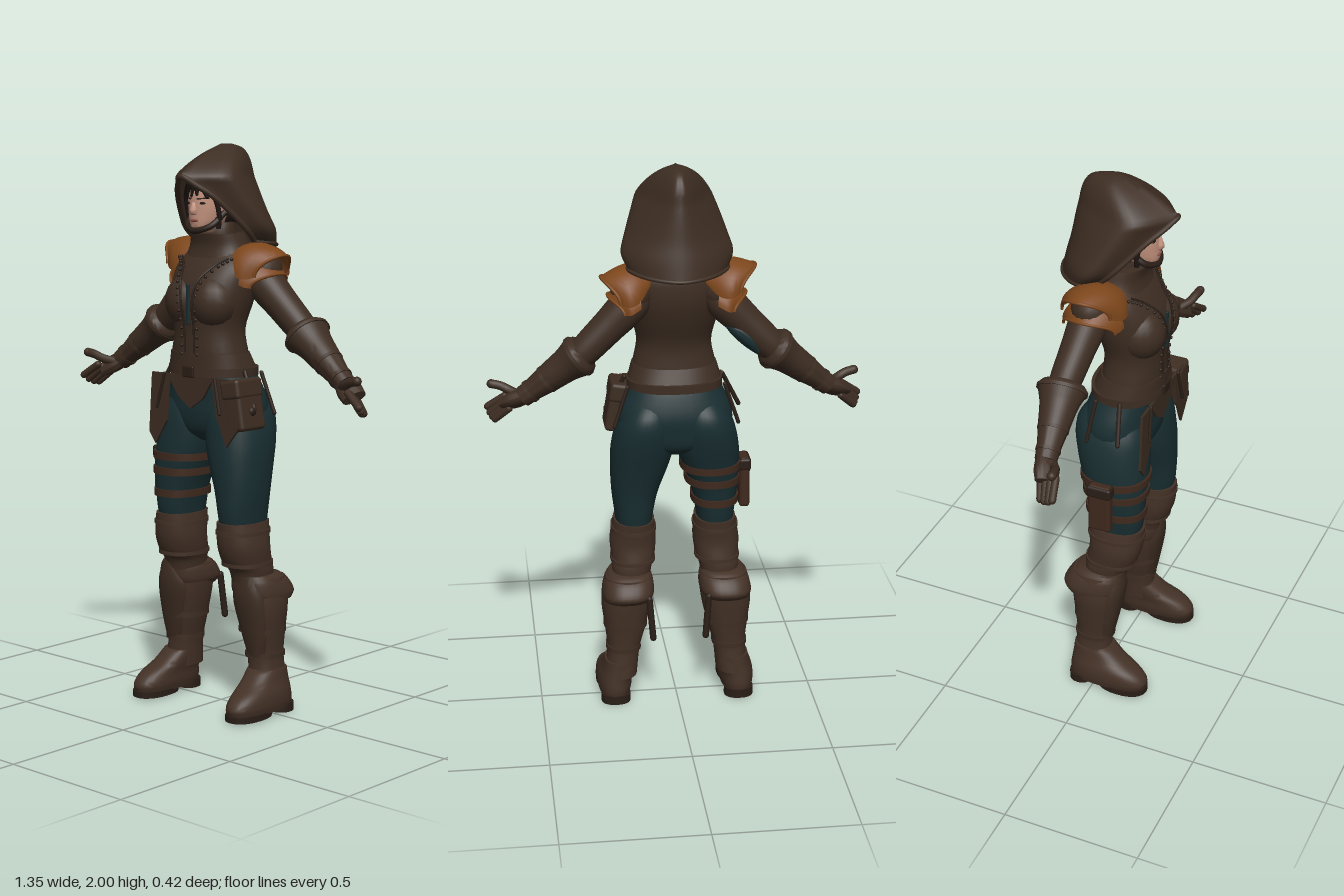
import * as THREE from 'three';
import { toCreasedNormals } from 'three/addons/utils/BufferGeometryUtils.js';
import { RoundedBoxGeometry } from 'three/addons/geometries/RoundedBoxGeometry.js';

const V = (x, y, z) => new THREE.Vector3(x, y, z);
const paint = (name, color, double) => {
  const m = new THREE.MeshStandardMaterial({ color });
  m.name = name;
  if (double) m.side = THREE.DoubleSide;
  return m;
};

// Smooth surface through rows of points; the rows run upward, anticlockwise from +x to +z
function skin(rows, { closed = true, steps = 4 } = {}) {
  const n = rows[0].length, count = (rows.length - 1) * steps + 1, pos = [], idx = [];
  const cols = rows[0].map((_, j) => new THREE.CatmullRomCurve3(rows.map(r => r[j]), false, 'catmullrom', 0.5));
  for (let i = 0; i < count; i++) cols.forEach(c => pos.push(...c.getPoint(i / (count - 1)).toArray()));
  for (let i = 0; i < count - 1; i++) for (let j = 0; j < (closed ? n : n - 1); j++) {
    const a = i * n + j, b = i * n + (j + 1) % n;
    idx.push(a, a + n, b, b, a + n, b + n);
  }
  if (closed) [0, count - 1].forEach((r, end) => {
    const mid = rows[end ? rows.length - 1 : 0].reduce((s, p) => s.add(p), V(0, 0, 0)).divideScalar(n);
    const c = pos.length / 3;
    pos.push(mid.x, mid.y, mid.z);
    for (let j = 0; j < n; j++) {
      const p = r * n + j, q = r * n + (j + 1) % n;
      idx.push(c, end ? q : p, end ? p : q);
    }
  });
  const g = new THREE.BufferGeometry();
  g.setAttribute('position', new THREE.Float32BufferAttribute(pos, 3));
  g.setIndex(idx);
  return toCreasedNormals(g, 1.0);
}

// Rounded cross-sections, each given as [y, xMin, xMax, zMin, zMax]
function stack(rows, e = 0.88, steps = 4, seg = 32) {
  const pw = v => Math.sign(v) * Math.abs(v) ** e;
  return skin(rows.map(([y, x0, x1, z0, z1]) => Array.from({ length: seg }, (_, j) => {
    const t = j / seg * Math.PI * 2;
    return V((x0 + x1) / 2 + (x1 - x0) / 2 * pw(Math.cos(t)), y, (z0 + z1) / 2 + (z1 - z0) / 2 * pw(Math.sin(t)));
  })), { steps });
}
const sym = (rows, e, steps) => stack(rows.map(([y, w, z0, z1]) => [y, -w, w, z0, z1]), e, steps);
const band = (y, h, x0, x1, z0, z1) => stack([[y - h / 2, x0, x1, z0, z1], [y + h / 2, x0, x1, z0, z1]], 0.88, 1);
const tube = (pts, r) => new THREE.TubeGeometry(new THREE.CatmullRomCurve3(pts), 40, r, 8);
const ball = (x, y, z, rx, ry = rx, rz = rx) => new THREE.SphereGeometry(1, 18, 12).scale(rx, ry, rz).translate(x, y, z);
const box = (x, y, z, w, h, d, r = 0.008, tilt = 0) => new RoundedBoxGeometry(w, h, d, 3, r).rotateZ(tilt).translate(x, y, z);
// Turn a shape built up the y axis so that it runs from a towards b
const aim = (g, a, b) => g
  .applyQuaternion(new THREE.Quaternion().setFromUnitVectors(V(0, 1, 0), b.clone().sub(a).normalize()))
  .translate(a.x, a.y, a.z);
const rod = (a, b, r) => {
  const l = a.distanceTo(b);
  return aim(new THREE.CapsuleGeometry(r, l, 4, 10).translate(0, l / 2, 0), a, b);
};
const plate = (pts, z) => new THREE.ExtrudeGeometry(new THREE.Shape(pts.map(p => new THREE.Vector2(...p))),
  { depth: 0.009, bevelEnabled: false }).translate(0, 0, z);
function mirror(g) {
  const m = g.index ? g.toNonIndexed() : g.clone();
  m.scale(-1, 1, 1);
  for (const { array, itemSize: n, count } of Object.values(m.attributes))
    for (let i = 0; i < count; i += 3) for (let k = 0; k < n; k++) {
      const p = (i + 1) * n + k, q = p + n;
      [array[p], array[q]] = [array[q], array[p]];
    }
  return m;
}

export function createModel() {
  const root = new THREE.Group();
  root.name = 'hoodedFigure';
  const leather = paint('brown leather', 0x3d2d22), cloth = paint('hood cloth', 0x3d2d22, true);
  const boot = paint('boot leather', 0x433126), strap = paint('strap brown', 0x3f291d);
  const orange = paint('orange leather', 0x7c461b, true), teal = paint('teal cloth', 0x192e31);
  const flesh = paint('skin', 0xc4937e), hair = paint('hair', 0x1f1714);
  const trim = paint('dark trim', 0x2a1e17), lip = paint('lips', 0x8f5148);
  const add = (name, mat, geo) => {
    const m = new THREE.Mesh(geo, mat);
    m.name = name;
    root.add(m);
  };
  const both = (name, mat, geo) => { add(name + 'Left', mat, geo); add(name + 'Right', mat, mirror(geo)); };

  // Hood: open at the face below the front point; rows are [y, rimX, rimZ, halfWidth, backZ]
  const hood = [[1.667, .142, -.015, .172, -.205], [1.705, .146, .025, .193, -.19], [1.76, .122, .075, .178, -.176],
    [1.82, .085, .13, .157, -.165], [1.86, .042, .175, .141, -.157], [1.89, .003, .205, .126, -.15],
    [1.93, 0, .155, .101, -.142], [1.965, 0, .09, .07, -.126], [1.988, 0, .035, .038, -.1], [2, 0, 0, 0, -.05]];
  const hoodRows = hood.map(([y, ex, ez, w, zb], i) => {
    const zs = ez + (zb - ez) * .34, half = [[ex, ez], [w, zs], [w * .64, zs + (zb - zs) * .66]];
    const at = (x, z) => V(x, y + (i ? 0 : z * .13), z);
    const pts = [...half.map(([x, z]) => at(-x, z)), at(0, zb), ...half.reverse().map(([x, z]) => at(x, z))];
    return new THREE.CatmullRomCurve3(pts, false, 'catmullrom', 0.5).getPoints(40);
  });
  add('hood', cloth, skin(hoodRows, { closed: false, steps: 3 }));
  const rim = hood.slice(0, 5).map(([y, x, z]) => V(x, y, z));
  add('hoodRim', cloth, tube([...rim, V(0, 1.889, .202), ...rim.map(p => V(-p.x, p.y, p.z)).reverse()], .01));
  add('hoodHem', cloth, tube(hoodRows[0], .007));

  // Head, face and hair
  add('head', flesh, sym([[1.695, .028, .05, .125], [1.72, .051, 0, .138], [1.76, .067, -.03, .14],
    [1.8, .074, -.045, .14], [1.85, .075, -.05, .135], [1.9, .06, -.03, .11], [1.92, .025, 0, .07]], 1));
  add('neckScarf', leather, sym([[1.6, .075, -.055, .07], [1.69, .068, -.045, .075], [1.74, .062, -.04, .06]], 1));
  add('nose', flesh, sym([[1.757, .011, .12, .149], [1.768, .013, .12, .156], [1.8, .007, .12, .146]], 1));
  add('lips', lip, ball(0, 1.738, .137, .018, .006, .007));
  both('eye', hair, ball(.031, 1.797, .13, .014, .005, .006));
  both('eyebrow', hair, rod(V(.016, 1.812, .138), V(.05, 1.815, .117), .003));
  add('hairCrown', hair, ball(0, 1.862, .045, .084, .065, .1));
  add('hairBack', hair, ball(0, 1.79, .01, .08, .1, .075));
  for (const [x, tx, ty] of [[0, -.012, 1.822], [.015, .012, 1.828], [.03, .045, 1.82], [-.02, -.042, 1.818]])
    add('fringeLock', hair, rod(V(x, 1.862, .14), V(tx, ty, .14 - Math.abs(tx) * .4), .007));
  both('sideLock', hair, tube([V(.03, 1.865, .135), V(.066, 1.82, .108), V(.073, 1.76, .09), V(.066, 1.71, .085)], .009));
  add('jawStrap', trim, tube([V(-.072, 1.765, .06), V(-.056, 1.72, .112), V(0, 1.702, .136), V(.056, 1.72, .112), V(.072, 1.765, .06)], .011));

  // Jacket
  add('jacket', leather, sym([[1.22, .148, -.055, .155], [1.27, .148, -.05, .163], [1.36, .132, -.045, .163],
    [1.45, .15, -.075, .171], [1.52, .16, -.095, .156], [1.58, .163, -.098, .122], [1.62, .14, -.092, .09],
    [1.65, .1, -.07, .075], [1.68, .075, -.05, .07]]));
  both('bust', leather, ball(.06, 1.455, .1, .086, .095, .086));
  add('collar', leather, sym([[1.59, .142, -.088, .105], [1.645, .115, -.08, .092], [1.69, .098, -.065, .1]]));
  add('jacketHem', leather, sym([[1.225, .166, -.078, .166], [1.28, .15, -.053, .167]], .88, 1));
  add('shirtFront', teal, box(0, 1.45, .169, .014, .14, .009, .003));
  const lapel = new THREE.CatmullRomCurve3([V(.022, 1.28, .163), V(.022, 1.37, .165), V(.026, 1.46, .179),
    V(.04, 1.53, .165), V(.075, 1.585, .112), V(.11, 1.61, .082)]);
  both('lapelEdge', trim, new THREE.TubeGeometry(lapel, 40, .004, 6));
  for (let i = 0; i < 16; i++) {
    const p = lapel.getPoint(i / 15);
    both('stud', trim, ball(p.x + .014, p.y - .004, p.z, .006));
  }

  // Shoulder guards: arched strips, rows are [x, centreZ, halfDepth, topY, edgeY]; the right one flares higher
  const arch = (rows, side, lift) => rows.map(([x, zc, hz, yt, yb]) => Array.from({ length: 21 }, (_, j) => {
    const t = (j / 20 - .5) * Math.PI * -side, out = Math.max(0, x - .1) / .16, up = lift * out;
    return V(side * (x + up * .3 - .06 * out * Math.sin(t) ** 2), yb + up + (yt - yb) * Math.cos(t), zc + hz * Math.sin(t));
  }));
  both('shoulder', leather, ball(.155, 1.565, -.04, .075, .075, .07));
  for (const [label, side, lift] of [['Left', 1, 0], ['Right', -1, .03]]) {
    const upper = arch([[.095, -.01, .075, 1.65, 1.6], [.15, -.02, .105, 1.662, 1.555], [.2, -.03, .112, 1.652, 1.54],
      [.24, -.035, .1, 1.634, 1.54], [.262, -.035, .088, 1.62, 1.545]], side, lift);
    const lower = arch([[.15, -.025, .108, 1.61, 1.53], [.205, -.035, .108, 1.59, 1.512], [.24, -.035, .095, 1.555, 1.508]], side, 0);
    add('shoulderGuard' + label, orange, skin(upper, { closed: false }));
    add('shoulderLowerPlate' + label, orange, skin(lower, { closed: false }));
    add('shoulderGuardEdge' + label, orange, tube(upper[4], .006));
    add('shoulderPlateEdge' + label, orange, tube(lower[2], .005));
  }

  // Arms and gauntlets
  const A = V(.15, 1.535, -.045), B = V(.335, 1.355, -.065), W = V(.535, 1.2, -.035);
  const ring = (y, rx, rz = rx) => [y, -rx, rx, -rz, rz];
  both('upperArm', leather, aim(stack([ring(-.04, .05), ring(.02, .066), ring(.12, .06), ring(.24, .054), ring(.29, .045)], 1), A, B));
  add('sleeveGussetRight', teal, mirror(aim(stack([[.08, .02, .055, -.045, -.01], [.12, 0, .06, -.061, .005],
    [.18, 0, .058, -.06, .005], [.23, .02, .05, -.045, -.01]], 1), A, B)));
  both('gauntlet', leather, aim(stack([ring(-.01, .066, .074), ring(.008, .075, .086), ring(.035, .068, .076), ring(.07, .059, .065),
    ring(.14, .051, .054), ring(.21, .04, .042), ring(.26, .037, .038)], 1), B, W));
  [[.012, .077, .088], [.15, .051, .054], [.225, .042, .043]].forEach(([y, rx, rz]) =>
    both('gauntletStrap', leather, aim(stack([ring(y - .006, rx, rz), ring(y + .006, rx, rz)], 1, 1), B, W)));
  both('palm', leather, aim(stack([ring(-.01, .028, .034), ring(.04, .028, .044), ring(.085, .019, .042)], .9), W, V(.6, 1.162, -.003)));
  for (let i = 0; i < 4; i++) {
    const k = i / 3, base = V(.6 - .012 * k, 1.18 - .026 * k, .03 - .06 * k);
    const tip = V(.66 - .024 * k, 1.138 - .026 * k - .008 * Math.sin(k * 3), .045 - .055 * k);
    both('finger', leather, rod(base, tip, .0135));
  }
  both('thumb', leather, tube([V(.545, 1.192, -.005), V(.585, 1.205, .022), V(.615, 1.218, .032), V(.645, 1.224, .038)], .016));
  both('thumbTip', leather, ball(.645, 1.224, .038, .016));

  // Trousers
  add('hips', teal, sym([[.965, .05, -.06, .09], [1.0, .15, -.095, .13], [1.06, .2, -.105, .145], [1.12, .2, -.105, .145],
    [1.2, .165, -.08, .15], [1.24, .15, -.055, .15]]));
  both('trouserLeg', teal, stack([[.62, .085, .21, -.035, .12], [.7, .08, .216, -.05, .145], [.8, .06, .228, -.06, .152],
    [.9, .025, .232, -.082, .155], [.98, .004, .228, -.103, .152], [1.06, .002, .21, -.117, .145], [1.12, .02, .18, -.106, .12],
    [1.17, .04, .14, -.06, .08]]));

  // Belt, flaps and pouches
  add('belt', leather, band(1.215, .03, -.17, .17, -.088, .168));
  add('buckle', trim, box(0, 1.215, .168, .05, .04, .014, .005));
  add('frontFlap', leather, plate([[-.11, 1.2], [-.06, 1.125], [0, 1.085], [.06, 1.125], [.11, 1.2]], .152));
  add('rightFlap', leather, plate([[-.1, 1.2], [-.115, 1.03], [-.17, .945], [-.2, .985], [-.185, 1.2]], .153));
  add('leftFlap', leather, plate([[.1, 1.2], [.185, 1.2], [.225, 1.03], [.17, .965], [.125, 1.07]], .153));
  add('hipPouch', leather, box(.198, 1.11, .1, .075, .18, .125, .014, .17));
  add('hipPouchFlap', leather, box(.187, 1.165, .1, .084, .07, .134, .014, .17));
  add('hipPouchStud', trim, ball(.238, 1.09, .1, .01, .016, .016));
  both('hangingRod', trim, rod(V(.175, 1.22, .07), V(.238, 1.095, .09), .008));
  both('beltCord', trim, rod(V(.172, 1.21, -.02), V(.22, 1.07, -.035), .007));
  both('frontCord', trim, rod(V(.12, 1.2, .165), V(.15, 1.08, .172), .006));

  // Thigh straps and holder on the right leg
  [[.9, -.24, -.018, -.088, .163], [.845, -.238, -.036, -.077, .161], [.765, -.232, -.06, -.064, .157]].forEach(([y, ...d]) =>
    add('thighStrap', strap, band(y, .026, ...d)));
  add('thighHolder', strap, box(-.25, .825, .03, .038, .19, .085, .012));
  add('thighHolderFlap', trim, box(-.251, .895, .03, .044, .045, .092, .01));

  // Knee wraps, boots and feet
  both('kneeWrap', boot, stack([[.44, .1, .22, -.06, .08], [.51, .088, .232, -.062, .095], [.545, .076, .232, -.058, .125],
    [.6, .069, .236, -.048, .144], [.655, .071, .228, -.052, .15], [.69, .074, .222, -.056, .152]]));
  both('kneeBand', boot, band(.655, .014, .067, .232, -.056, .154));
  both('kneeLowerBand', boot, band(.54, .014, .073, .236, -.063, .126));
  both('bootShaft', boot, stack([[.1, .148, .265, -.095, .05], [.2, .137, .255, -.085, .045], [.28, .116, .262, -.09, .06],
    [.38, .093, .274, -.1, .078], [.45, .086, .268, -.104, .083], [.49, .09, .258, -.1, .08]]));
  both('bootCuff', boot, stack([[.41, .096, .27, -.12, .07], [.435, .084, .272, -.136, .084], [.475, .086, .262, -.112, .087],
    [.5, .098, .245, -.08, .084]], .78));
  both('shinGuard', leather, stack([[.2, .165, .235, 0, .053], [.3, .138, .25, 0, .073], [.42, .115, .252, 0, .094], [.5, .15, .222, .02, .09]]));
  [[.3, .108, .267, -.095, .07], [.21, .132, .26, -.09, .055]].forEach(([y, ...d]) =>
    both('bootStrap', leather, band(y, .018, ...d)));
  both('bootTassel', trim, rod(V(.108, .43, -.112), V(.096, .28, -.124), .012));
  both('foot', boot, stack([[.02, .17, .287, -.097, .195], [.05, .163, .292, -.1, .2], [.085, .162, .288, -.096, .168],
    [.12, .154, .275, -.093, .105], [.16, .147, .265, -.09, .055]], .8));
  both('sole', trim, band(.015, .022, .168, .29, .01, .203));
  both('heel', trim, band(.016, .032, .175, .282, -.102, -.01));
  return root;
}
